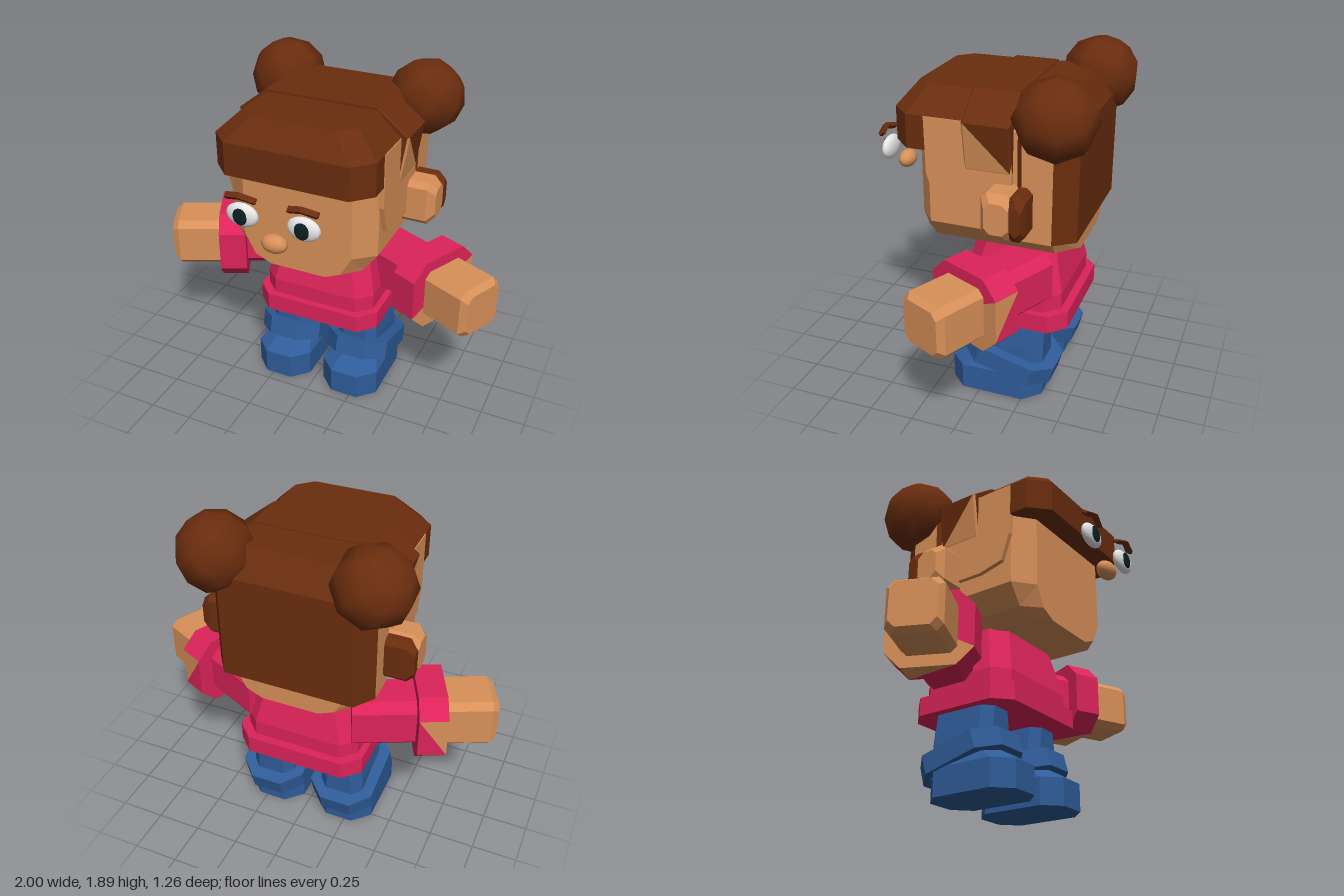
import * as THREE from 'three';

const mat = (name, color) => Object.assign(new THREE.MeshStandardMaterial({ color }), { name });

// Eight-cornered horizontal outline at height y, symmetric about x
function ring(y, hx, zb, zf, cx, cz = cx) {
  return [[hx - cx, zf], [hx, zf - cz], [hx, zb + cz], [hx - cx, zb],
    [cx - hx, zb], [-hx, zb + cz], [-hx, zf - cz], [cx - hx, zf]]
    .map(([x, z]) => new THREE.Vector3(x, y, z));
}

// Flat-faced solid through a stack of outlines; paint(centroid) picks the material index
function loft(rings, paint = () => 0) {
  const tris = [], n = 8, last = rings[rings.length - 1];
  for (let r = 0; r + 1 < rings.length; r++) {
    const L = rings[r], U = rings[r + 1];
    for (let i = 0; i < n; i++) {
      const j = (i + 1) % n;
      if (i < 4) tris.push([L[i], L[j], U[i]], [L[j], U[j], U[i]]);
      else tris.push([L[i], L[j], U[j]], [L[i], U[j], U[i]]);
    }
  }
  for (let i = 1; i + 1 < n; i++) {
    tris.push([rings[0][0], rings[0][i + 1], rings[0][i]], [last[0], last[i], last[i + 1]]);
  }
  const mid = new THREE.Vector3();
  rings.flat().forEach(p => mid.addScaledVector(p, 1 / (rings.length * n)));
  let volume = 0;
  for (const [a, b, c] of tris) {
    volume += a.clone().sub(mid).dot(b.clone().sub(mid).cross(c.clone().sub(mid)));
  }
  const buckets = [[], []];
  for (const [a, b, c] of tris) {
    const centre = a.clone().add(b).add(c).divideScalar(3);
    buckets[paint(centre) ? 1 : 0].push(...(volume > 0 ? [a, b, c] : [a, c, b]));
  }
  const geo = new THREE.BufferGeometry().setFromPoints(buckets.flat());
  geo.addGroup(0, buckets[0].length, 0);
  if (buckets[1].length) geo.addGroup(buckets[0].length, buckets[1].length, 1);
  geo.computeVertexNormals();
  return geo;
}

// Mirrored copy of a mesh across x = 0, with corner order restored
function mirrored(mesh, name) {
  mesh.updateMatrix();
  let geo = mesh.geometry.clone().applyMatrix4(mesh.matrix);
  if (geo.index) geo = geo.toNonIndexed();
  geo.scale(-1, 1, 1);
  for (const key of ['position', 'normal']) {
    const a = geo.attributes[key];
    for (let i = 0; i < a.count; i++) {
      if (key === 'normal') a.setX(i, -Math.abs(a.getX(i)) * Math.sign(-a.getX(i) || 1));
    }
    for (let i = 0; i < a.count; i += 3) {
      const p = [a.getX(i + 1), a.getY(i + 1), a.getZ(i + 1)];
      a.setXYZ(i + 1, a.getX(i + 2), a.getY(i + 2), a.getZ(i + 2));
      a.setXYZ(i + 2, ...p);
    }
  }
  const copy = new THREE.Mesh(geo, mesh.material);
  copy.name = name;
  return copy;
}

export function createModel() {
  const model = new THREE.Group();
  model.name = 'bunHairedChild';
  const skin = mat('skin', 0xd89059), hair = mat('hair', 0x6a2d0e), pink = mat('shirt', 0xdc2459);
  const blue = mat('trousers', 0x2f5c99), white = mat('eyeWhite', 0xe8e8e8), dark = mat('pupil', 0x0b2022);

  const add = (name, geo, material, x = 0, y = 0, z = 0, rx = 0, ry = 0, rz = 0) => {
    const mesh = new THREE.Mesh(geo, material);
    mesh.name = name;
    mesh.position.set(x, y, z);
    mesh.rotation.set(rx, ry, rz);
    model.add(mesh);
    return mesh;
  };
  const pair = (name, ...rest) => {
    const mesh = add(name + 'Left', ...rest);
    model.add(mirrored(mesh, name + 'Right'));
  };
  const ball = (rx, ry, rz, w = 16, h = 12) => new THREE.SphereGeometry(1, w, h).scale(rx, ry, rz);
  const sideways = geo => geo.rotateZ(-Math.PI / 2);

  // Head with narrowed jaw
  add('head', loft([
    ring(0.9, 0.24, -0.5, 0.335, 0.08, 0.09), ring(0.94, 0.34, -0.5, 0.335, 0.09, 0.09),
    ring(1.05, 0.42, -0.5, 0.335, 0.11, 0.09), ring(1.6, 0.42, -0.48, 0.335, 0.11, 0.09),
    ring(1.7, 0.3, -0.4, 0.25, 0.11, 0.09)]), skin);

  // Raised cheeks
  const cheek = new THREE.Shape([[-0.255, 1.63], [-0.25, 1.33], [-0.2, 1.18], [-0.06, 1.145],
    [0.15, 1.145], [0.21, 1.33], [0.21, 1.63]].map(p => new THREE.Vector2(...p)));
  const cheekGeo = new THREE.ExtrudeGeometry(cheek, { depth: 0.045, bevelEnabled: false }).rotateY(Math.PI / 2);
  pair('cheek', cheekGeo, skin, 0.4);

  // Fringe, crown band and back of the hair
  add('fringe', loft([ring(1.45, 0.44, -0.2, 0.455, 0.1), ring(1.63, 0.44, -0.2, 0.455, 0.1),
    ring(1.755, 0.31, -0.2, 0.36, 0.08)]), hair);
  add('crownBand', loft([ring(1.325, 0.425, -0.17, -0.03, 0.01), ring(1.39, 0.447, -0.21, 0.04, 0.01),
    ring(1.635, 0.485, -0.21, 0.04, 0.01), ring(1.765, 0.32, -0.21, 0.04, 0.01)],
  c => c.y < 1.39 || (c.y < 1.63 && Math.abs(c.x) > 0.4 && c.z > -0.1)), [hair, skin]);
  add('backHair', loft([ring(1.03, 0.44, -0.53, -0.15, 0.08, 0.11), ring(1.62, 0.44, -0.53, -0.15, 0.08, 0.11),
    ring(1.76, 0.32, -0.43, -0.15, 0.08)],
  c => Math.abs(c.x) > 0.435 && c.y < 1.62), [hair, skin]);
  pair('hairBun', ball(0.212, 0.205, 0.215, 8, 6), hair, 0.413, 1.685, -0.42, 0, 0.3, -0.7);

  // Ears with hair-coloured backs
  const ear = (zb, zf, c, h) => sideways(loft([ring(0.4, h, zb, zf, c), ring(0.555, h, zb, zf, c),
    ring(0.597, h - 0.04, zb + 0.01, zf - 0.03, c)]));
  pair('ear', ear(-0.255, -0.09, 0.03, 0.123), skin, 0, 1.205, 0);
  pair('earBack', ear(-0.32, -0.225, 0.03, 0.122), hair, 0, 1.205, 0);

  // Floating face: eyes, pupils, brows and nose
  pair('eye', ball(0.09, 0.065, 0.033), white, 0.168, 1.33, 0.588);
  pair('pupil', ball(0.04, 0.046, 0.009), dark, 0.168, 1.33, 0.616);
  const brow = new THREE.Shape([[-0.085, -0.018], [-0.08, -0.006], [0, 0.026], [0.082, 0.002],
    [0.086, -0.012], [0.07, -0.022], [0, 0.002], [-0.07, -0.024]].map(p => new THREE.Vector2(...p)));
  const browGeo = new THREE.ExtrudeGeometry(brow, { depth: 0.03, bevelEnabled: false }).translate(0, 0, -0.015);
  pair('eyebrow', browGeo, hair, 0.168, 1.435, 0.605, 0.7);
  add('nose', ball(0.072, 0.05, 0.048), skin, 0, 1.2, 0.577);

  // Shirt
  add('shirtBody', loft([ring(0.5, 0.33, -0.43, 0.13, 0.08), ring(0.65, 0.33, -0.43, 0.13, 0.08),
    ring(0.91, 0.27, -0.37, 0.07, 0.08)]), pink);
  add('shirtHem', loft([ring(0.46, 0.367, -0.475, 0.17, 0.09), ring(0.562, 0.367, -0.475, 0.17, 0.09)]), pink);

  // Arms, angled a little forward
  const arm = [0.625, 0.755, -0.083, 0, -25 * Math.PI / 180];
  pair('sleeve', sideways(loft([ring(-0.42, 0.145, -0.145, 0.145, 0.05),
    ring(-0.03, 0.145, -0.145, 0.145, 0.05)])), pink, ...arm);
  pair('cuff', sideways(loft([ring(-0.077, 0.205, -0.23, 0.23, 0.09), ring(0.077, 0.205, -0.23, 0.23, 0.09)],
    c => c.y > 0 && c.x - c.z > 0.08)), [pink, skin], ...arm);
  pair('hand', sideways(loft([ring(0.03, 0.143, -0.145, 0.145, 0.035), ring(0.325, 0.143, -0.145, 0.145, 0.035),
    ring(0.36, 0.12, -0.12, 0.12, 0.035)])), skin, ...arm);

  // Legs, tilted turn-ups and feet
  pair('leg', loft([ring(0.1, 0.135, -0.345, 0.04, 0.05), ring(0.3, 0.125, -0.345, 0.04, 0.05),
    ring(0.5, 0.1, -0.345, 0.04, 0.05)]), blue, 0.215);
  pair('turnUp', loft([ring(-0.053, 0.188, -0.26, 0.26, 0.1), ring(0.053, 0.188, -0.26, 0.26, 0.1)]),
    blue, 0.217, 0.213, -0.15, -15 * Math.PI / 180);
  pair('foot', loft([ring(0, 0.17, -0.345, 0.19, 0.09), ring(0.15, 0.17, -0.345, 0.19, 0.09),
    ring(0.215, 0.13, -0.33, 0.08, 0.08)]), blue, 0.215);

  return model;
}
